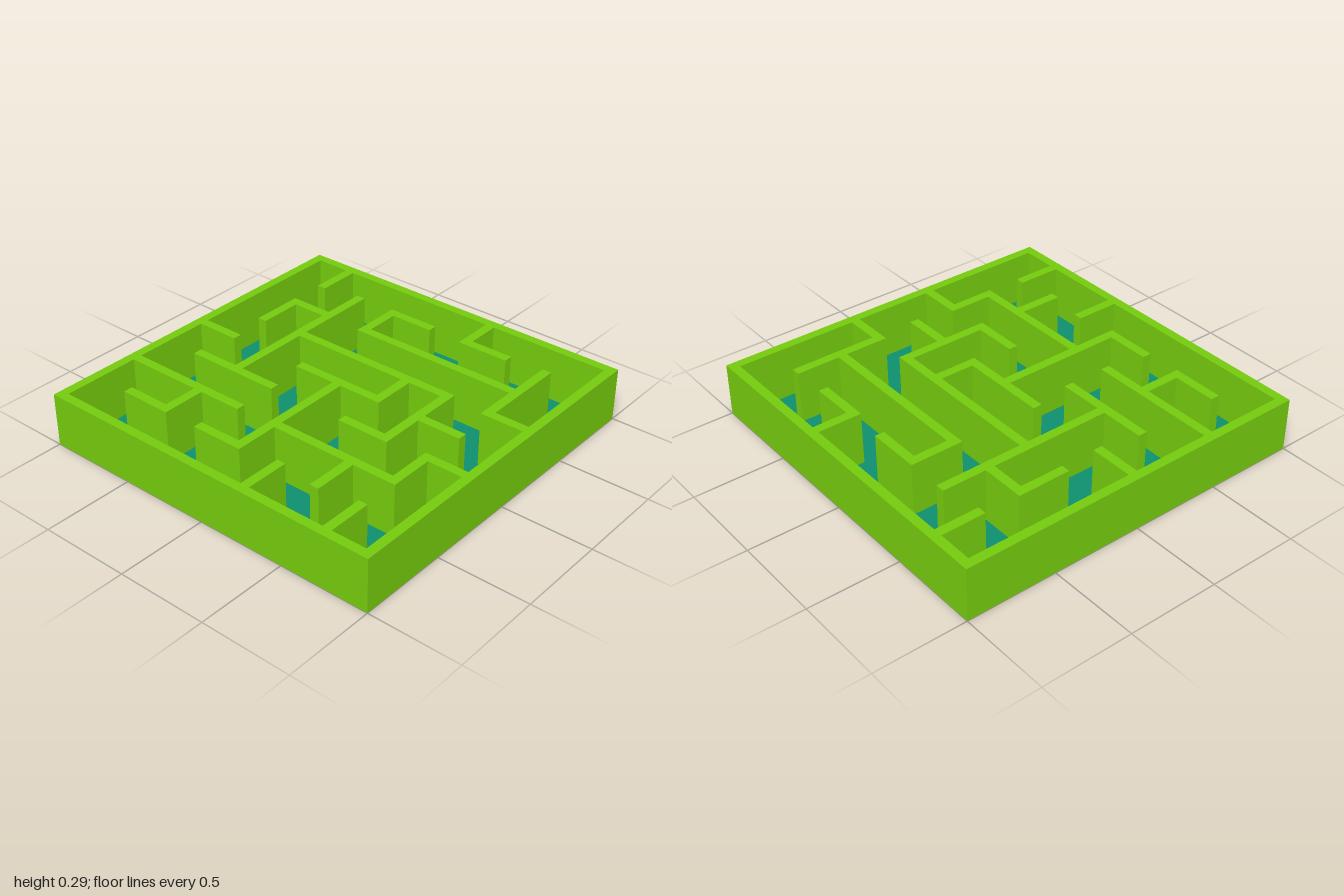
import * as THREE from 'three';

const HEIGHT = 0.295;
const THICK = 0.051;
const CELLS = 8;
const PITCH = (2 - THICK) / CELLS;

// Walls on grid lines: [line, from, to], counted from the back left corner
const ACROSS = [ // run along x, line = row in z
  [0, 0, 8], [1, 3, 4], [1, 5, 6], [2, 1, 2], [2, 3, 7], [3, 2, 6], [3, 7, 8],
  [4, 0, 1], [4, 3, 5], [4, 6, 7], [5, 1, 3], [5, 5, 6], [5, 7, 8],
  [6, 0, 3], [6, 4, 7], [7, 1, 2], [7, 3, 4], [8, 0, 8],
];
const ALONG = [ // run along z, line = column in x
  [0, 0, 8], [1, 0, 1], [1, 2, 3], [2, 1, 5], [2, 6, 7], [3, 1, 2], [4, 4, 7],
  [5, 0, 1], [5, 3, 4], [5, 7, 8], [6, 3, 5], [6, 6, 7],
  [7, 1, 3], [7, 5, 6], [7, 7, 8], [8, 0, 8],
];

const at = (i) => (i - CELLS / 2) * PITCH;

export function createModel() {
  const model = new THREE.Group();
  model.name = 'maze';
  const wallMaterial = new THREE.MeshStandardMaterial({ color: 0x74ca0d });
  const floorMaterial = new THREE.MeshStandardMaterial({ color: 0x0e8f6f, side: THREE.DoubleSide });

  const outerWalls = new THREE.Group();
  outerWalls.name = 'outerWalls';
  const innerWalls = new THREE.Group();
  innerWalls.name = 'innerWalls';
  model.add(outerWalls, innerWalls);

  // One straight wall, reaching half a thickness past its end points
  function addWall([line, from, to], alongZ) {
    const length = (to - from) * PITCH + THICK;
    const middle = at((from + to) / 2);
    const geometry = alongZ
      ? new THREE.BoxGeometry(THICK, HEIGHT, length)
      : new THREE.BoxGeometry(length, HEIGHT, THICK);
    const wall = new THREE.Mesh(geometry, wallMaterial);
    wall.position.set(alongZ ? at(line) : middle, HEIGHT / 2, alongZ ? middle : at(line));
    const outer = line === 0 || line === CELLS;
    wall.name = outer ? 'outerWall' : 'innerWall';
    (outer ? outerWalls : innerWalls).add(wall);
  }
  ACROSS.forEach((w) => addWall(w, false));
  ALONG.forEach((w) => addWall(w, true));

  // Thin floor, just above the undersides of the walls
  const size = 2 - THICK;
  const floor = new THREE.Mesh(new THREE.PlaneGeometry(size, size).rotateX(-Math.PI / 2), floorMaterial);
  floor.name = 'floor';
  floor.position.y = 0.002;
  model.add(floor);

  return model;
}
